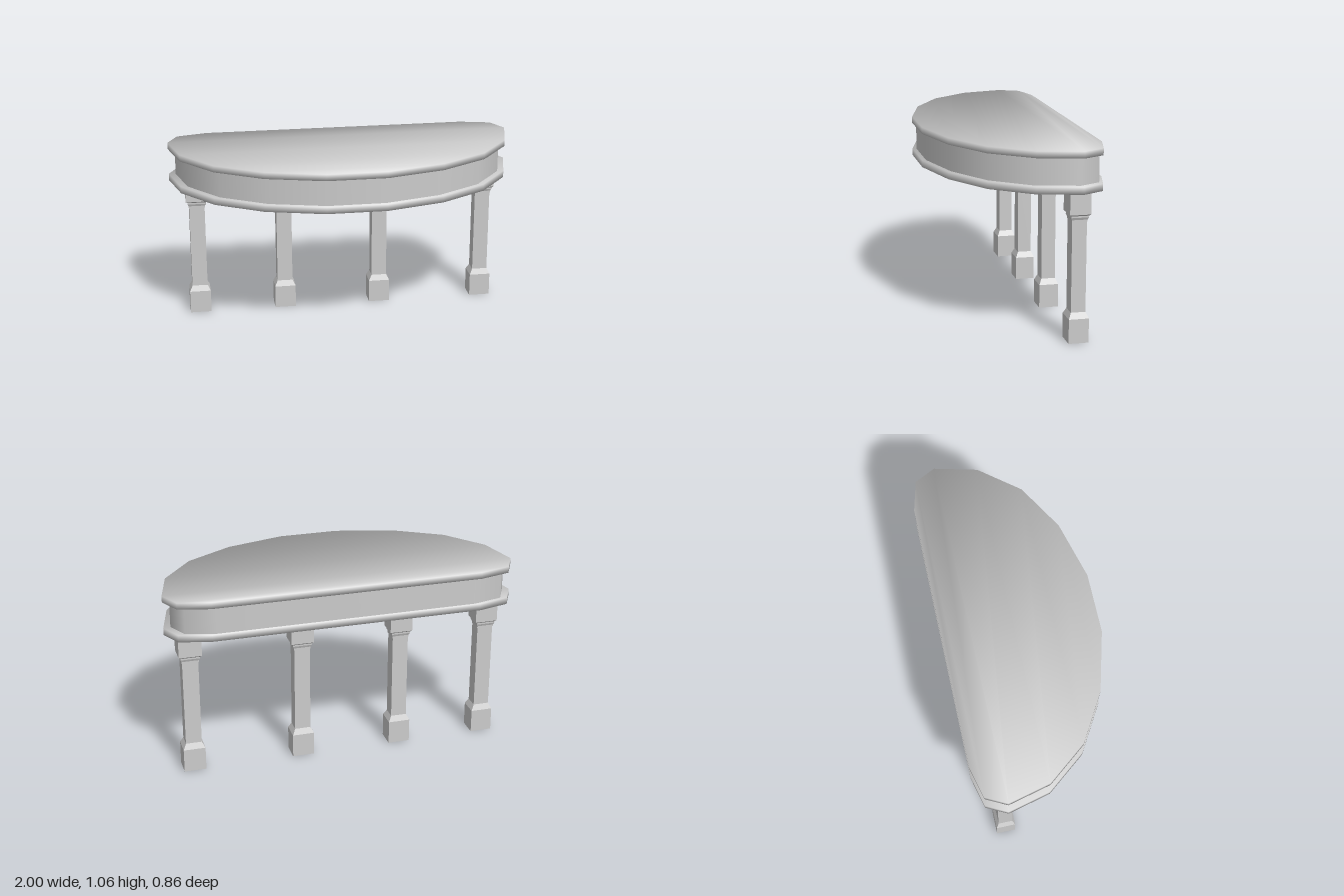
import * as THREE from 'three';

const material = new THREE.MeshStandardMaterial({ color: 0xcccccc, side: THREE.DoubleSide });

// Right half of the half-moon outline (x, z), front to back; the left half mirrors it
const half = [[0.17, 0.432], [0.5, 0.345], [0.765, 0.19], [0.94, -0.03], [1, -0.27], [0.94, -0.387], [0.765, -0.43]];
const outline = [...half, ...half.map(([x, z]) => [-x, z]).reverse()];

// Upright band around a loop, closed above and below if capped, with softly blended normals
function slab(name, loop, y0, y1, capped) {
  const n = loop.length, position = [], normal = [], index = [];
  const edgeNormal = i => {
    const [ax, az] = loop[(i + n) % n], [bx, bz] = loop[(i + 1) % n];
    return new THREE.Vector3(az - bz, 0, bx - ax).normalize();
  };
  for (const [y, up] of [[y0, -1], [y1, 1]]) {
    loop.forEach(([x, z], i) => {
      const dir = edgeNormal(i - 1).add(edgeNormal(i)).normalize();
      if (capped) dir.y = up;
      dir.normalize();
      position.push(x, y, z);
      normal.push(dir.x, dir.y, dir.z);
    });
  }
  for (let i = 0; i < n; i++) {
    const j = (i + 1) % n;
    index.push(i, j, n + j, i, n + j, n + i);
  }
  // Caps: strips running from the right side to the left
  for (let i = 0; capped && i < n / 2 - 1; i++) {
    const a = i, b = i + 1, c = n - 2 - i, d = n - 1 - i;
    index.push(n + a, n + b, n + c, n + a, n + c, n + d);
    index.push(a, c, b, a, d, c);
  }
  const geometry = new THREE.BufferGeometry();
  geometry.setAttribute('position', new THREE.Float32BufferAttribute(position, 3));
  geometry.setAttribute('normal', new THREE.Float32BufferAttribute(normal, 3));
  geometry.setIndex(index);
  const mesh = new THREE.Mesh(geometry, material);
  mesh.name = name;
  return mesh;
}

// Square leg: half-width and height up the profile, open at the foot
function legGeometry() {
  const profile = [
    [0.062, 0], [0.062, 0.135], [0.045, 0.168], [0.045, 0.664], [0.048, 0.664], [0.048, 0.675],
    [0.054, 0.688], [0.054, 0.697], [0.064, 0.705], [0.064, 0.832],
  ].map(([r, y]) => new THREE.Vector2(r * Math.SQRT2, y));
  return new THREE.LatheGeometry(profile, 4, Math.PI / 4).scale(1, 1, 0.89);
}

export function createModel() {
  const group = new THREE.Group();
  group.name = 'halfMoonTable';

  // Table top, recessed apron and lower moulding
  const inset = outline.map(([x, z]) => [x * 0.96, z * (z > 0 ? 0.95 : 0.975)]);
  group.add(slab('tableTop', outline, 1.019, 1.056, true));
  group.add(slab('apron', inset, 0.867, 1.02, false));
  group.add(slab('lowerRim', outline, 0.829, 0.868, true));

  // Row of four legs along the back
  const geometry = legGeometry();
  const legMaterial = material.clone();
  legMaterial.flatShading = true;
  [-0.847, -0.335, 0.24, 0.87].forEach((x, i) => {
    const leg = new THREE.Mesh(geometry, legMaterial);
    leg.name = `leg${i + 1}`;
    leg.position.set(x, 0, -0.271);
    group.add(leg);
  });
  return group;
}
